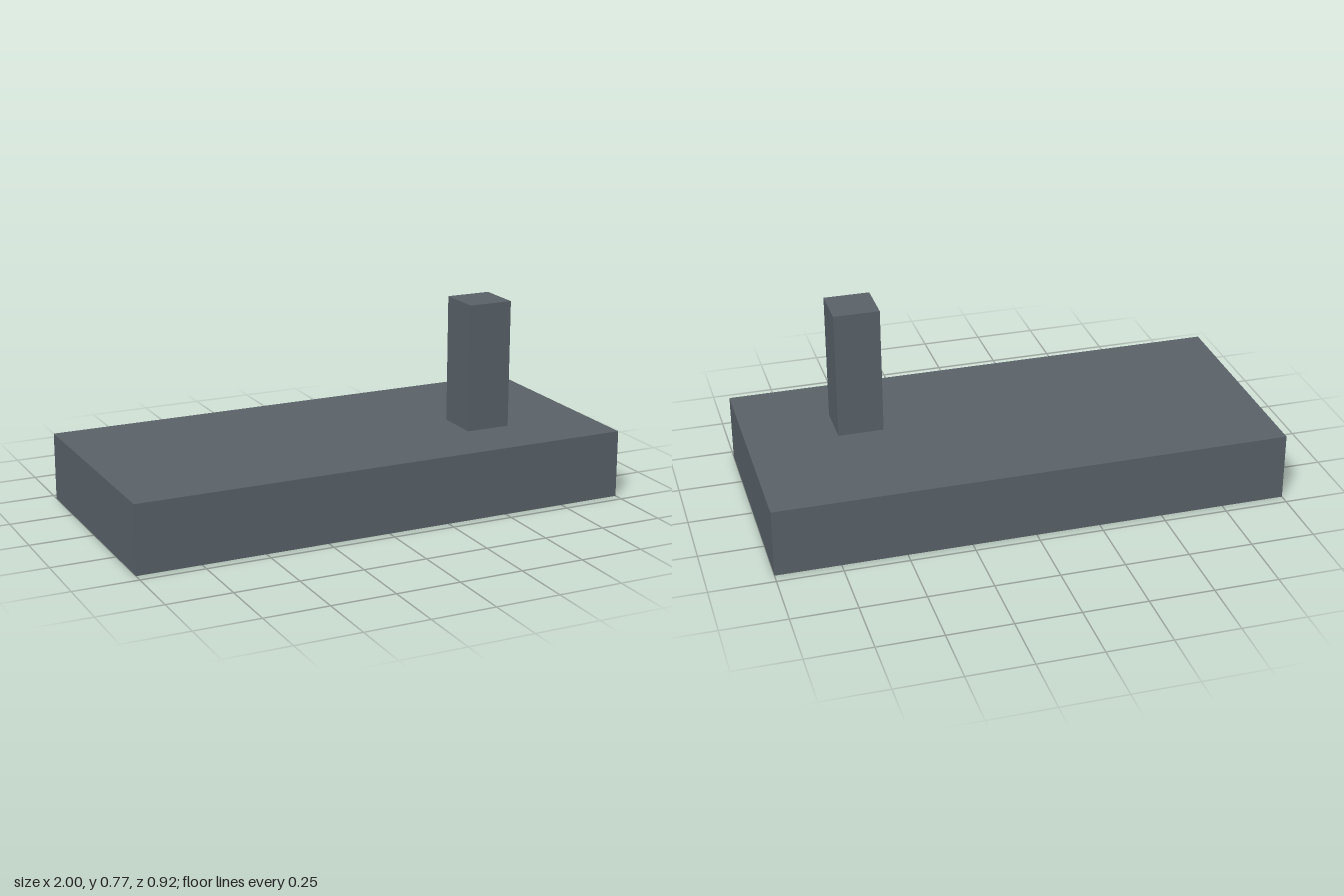
import * as THREE from 'three';

export function createModel() {
  const group = new THREE.Group();
  const material = new THREE.MeshStandardMaterial({ color: 0x5a636a });

  // Adds a box by its size, standing on height y
  function addBox(name, [w, h, d], [x, y, z]) {
    const mesh = new THREE.Mesh(new THREE.BoxGeometry(w, h, d), material);
    mesh.name = name;
    mesh.position.set(x, y + h / 2, z);
    group.add(mesh);
  }

  const slabHeight = 0.267;

  // Wide flat slab
  addBox('base', [2, slabHeight, 0.92], [0, 0, 0]);

  // Square post standing off-centre on the slab
  addBox('post', [0.178, 0.504, 0.178], [0.559, slabHeight, 0.12]);

  return group;
}
